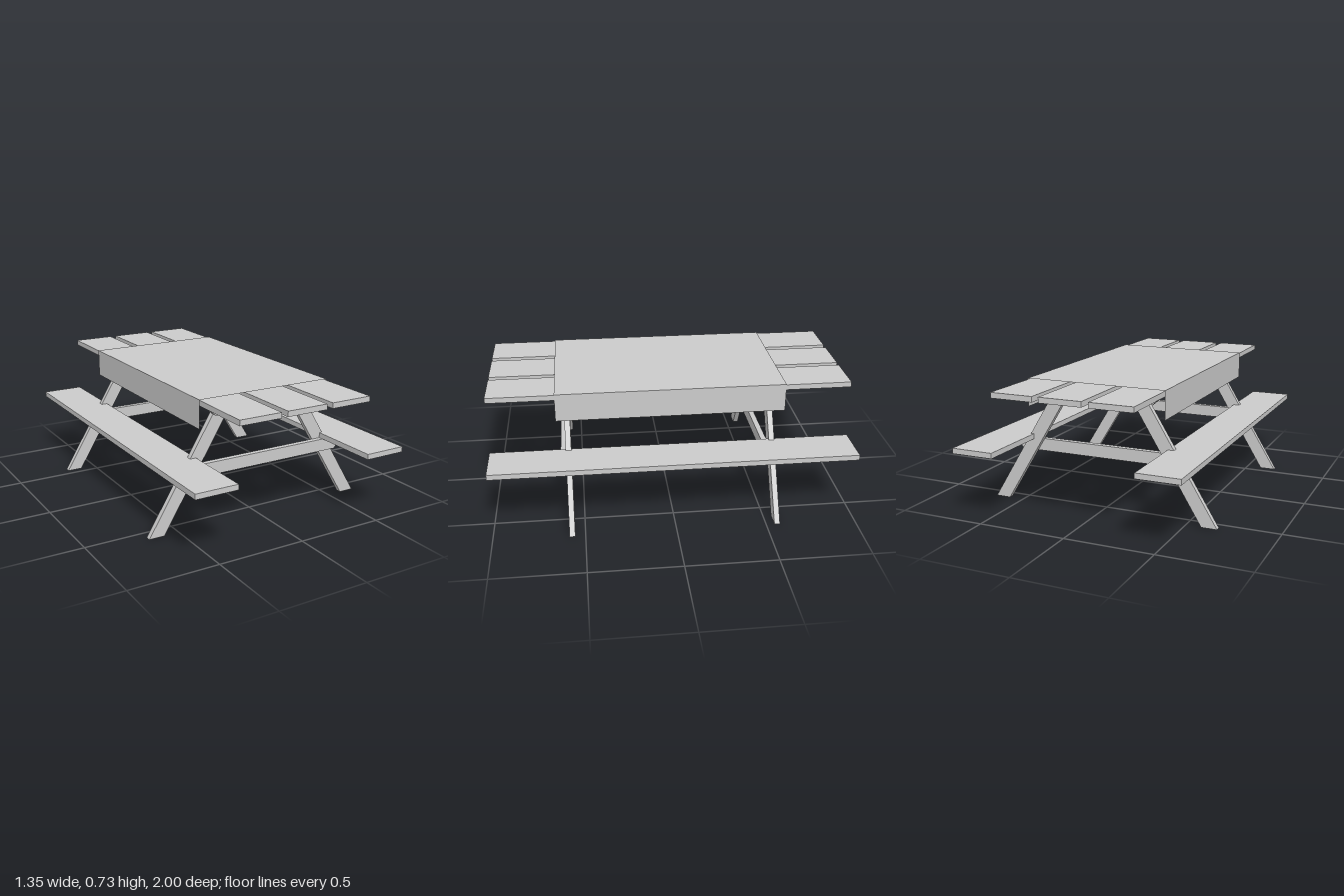
import * as THREE from 'three';

const material = new THREE.MeshStandardMaterial({ color: 0xcccccc });
const clothMaterial = new THREE.MeshStandardMaterial({ color: 0xcccccc, side: THREE.DoubleSide });

export function createModel() {
  const table = new THREE.Group();
  table.name = 'picnicTable';

  const add = (name, geometry, mat = material) => {
    const mesh = new THREE.Mesh(geometry, mat);
    mesh.name = name;
    table.add(mesh);
    return mesh;
  };

  // Full-length plank, given its x range and underside height
  const plank = (name, x0, x1, y) =>
    add(name, new THREE.BoxGeometry(x1 - x0, 0.03, 2)).position.set((x0 + x1) / 2, y + 0.015, 0);

  // Upright board cut from an x-y outline, with its back face at z
  const board = (name, points, z) => {
    const shape = new THREE.Shape(points.map(([x, y]) => new THREE.Vector2(x, y)));
    const geometry = new THREE.ExtrudeGeometry(shape, { depth: 0.031, bevelEnabled: false });
    add(name, geometry).position.z = z;
  };

  // Table top and seats
  plank('topPlankRight', -0.395, -0.154, 0.692);
  plank('topPlankMiddle', -0.117, 0.123, 0.692);
  plank('topPlankLeft', 0.158, 0.399, 0.692);
  plank('seatRight', -0.636, -0.395, 0.37);
  plank('seatLeft', 0.412, 0.653, 0.37);

  // Two A-frames; the crossbeams sit on the front face of the legs
  for (const [end, z] of [['front', 0.556], ['back', -0.577]]) {
    for (const [side, s] of [['Left', 1], ['Right', -1]]) {
      board(`${end}Leg${side}`,
        [[0.587 * s, 0], [0.675 * s, 0], [0.252 * s, 0.69], [0.164 * s, 0.69]], z);
    }
    board(`${end}TopBeam`, [[-0.29, 0.62], [0.292, 0.62], [0.383, 0.692], [-0.375, 0.692]], z + 0.029);
    board(`${end}SeatBeam`, [[-0.5, 0.3], [0.5, 0.3], [0.55, 0.37], [-0.54, 0.37]], z + 0.029);
  }

  // Tablecloth: a thin sheet over the top, hanging down both long sides
  const cloth = (name, w, h) => add(name, new THREE.PlaneGeometry(w, h), clothMaterial);
  const top = cloth('clothTop', 0.805, 1.266);
  top.rotation.x = -Math.PI / 2;
  top.position.set(0.002, 0.727, 0);
  for (const [side, s] of [['Left', 1], ['Right', -1]]) {
    const drape = cloth(`clothDrape${side}`, 1.266, 0.157);
    drape.rotation.y = s * Math.PI / 2;
    drape.position.set(0.002 + s * 0.4025, 0.6485, 0);
  }

  return table;
}
